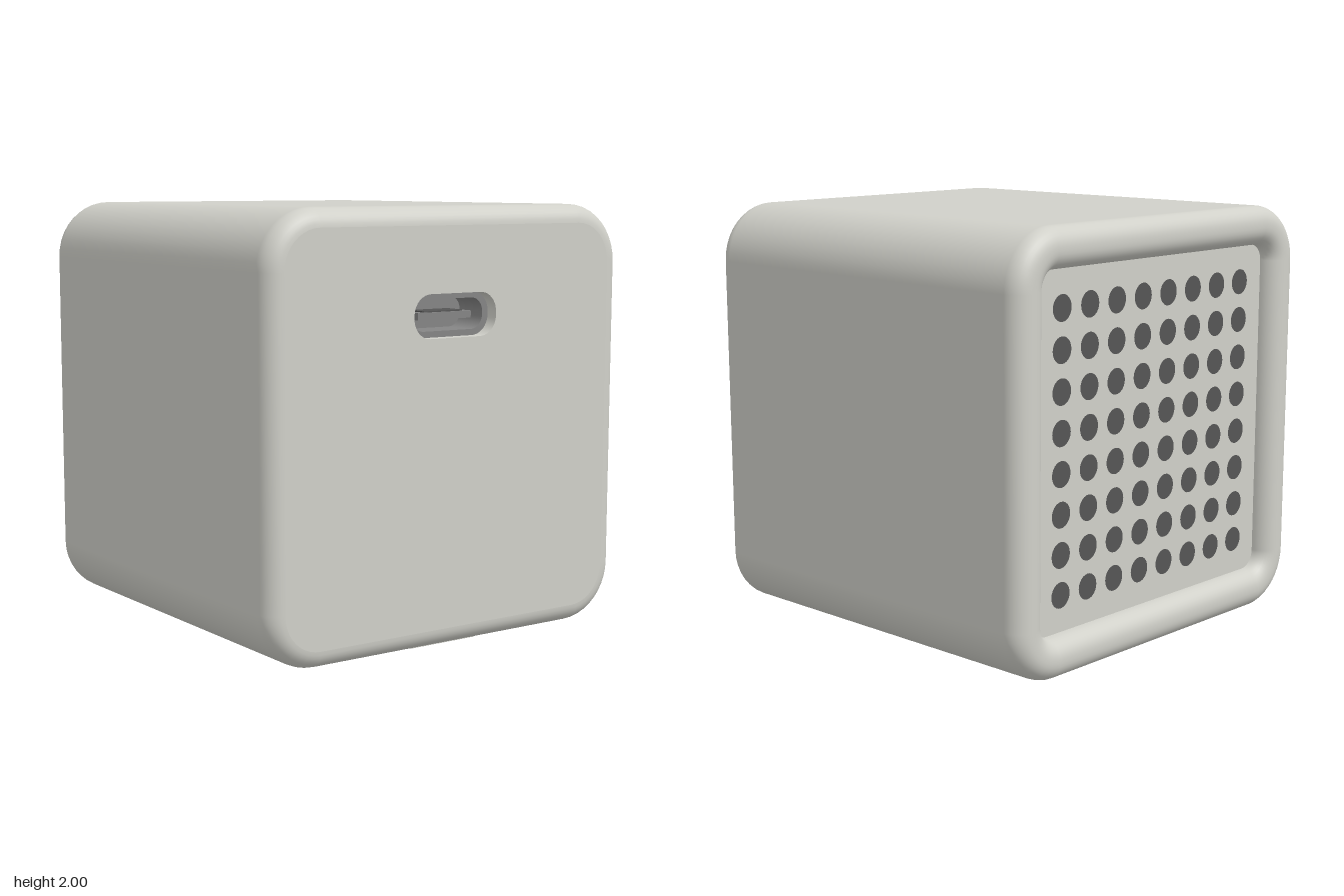
import * as THREE from 'three';

const mat = (name, color, side = THREE.FrontSide) =>
  Object.assign(new THREE.MeshStandardMaterial({ color, side }), { name });

// Counter-clockwise outline of a rounded rectangle (half width, half height, radius)
function outline(w, h, r, n = 10) {
  const pts = [];
  [[1, 1], [-1, 1], [-1, -1], [1, -1]].forEach(([sx, sy], q) => {
    for (let i = 0; i <= n; i++) {
      const a = (q + i / n) * Math.PI / 2;
      pts.push(new THREE.Vector2(sx * (w - r) + r * Math.cos(a), sy * (h - r) + r * Math.sin(a)));
    }
  });
  return pts;
}

// Skin through rounded rectangles [w, h, r, z]; faces outward when z decreases
function loft(sections) {
  const pos = [], idx = [];
  let n = 0;
  for (const [w, h, r, z] of sections) {
    const pts = outline(w, h, r);
    n = pts.length;
    pts.forEach(p => pos.push(p.x, p.y, z));
  }
  for (let i = 0; i < sections.length - 1; i++) {
    for (let j = 0; j < n; j++) {
      const a = i * n + j, b = i * n + (j + 1) % n;
      idx.push(a, a + n, b, b, a + n, b + n);
    }
  }
  const g = new THREE.BufferGeometry();
  g.setAttribute('position', new THREE.Float32BufferAttribute(pos, 3));
  g.setIndex(idx);
  g.computeVertexNormals();
  return g;
}

// Flat rounded plate, optionally with a rounded hole centred at height holeY
function plate(size, hole, holeY = 0) {
  const shape = new THREE.Shape(outline(...size));
  if (hole) {
    const pts = outline(...hole).map(p => p.add(new THREE.Vector2(0, holeY)));
    shape.holes.push(new THREE.Path(pts));
  }
  return new THREE.ShapeGeometry(shape);
}

export function createModel() {
  const shellMat = mat('warmGrey', 0xd0d0c9);
  const orange = mat('orange', 0xd4714a);
  const metal = mat('portGrey', 0x858585);
  const dark = mat('darkGrey', 0x555555);

  const model = new THREE.Group();
  const add = (parent, name, geo, material, x = 0, y = 0, z = 0) => {
    const m = new THREE.Mesh(geo, material);
    m.name = name;
    m.position.set(x, y, z);
    parent.add(m);
    return m;
  };

  // Housing: filleted front edge, straight sides, rounded rim around the back recess
  const H = 0.925, F = 0.08, S = 8, portY = 0.475;
  const body = new THREE.Group();
  body.name = 'housing';
  body.position.y = 1.075;
  model.add(body);
  const sections = [];
  const ring = (h, z) => sections.push([h, h, h - 0.675, z]);
  const arc = fn => { for (let i = 0; i <= S; i++) fn(F * Math.sin(i / S * Math.PI / 2), F * Math.cos(i / S * Math.PI / 2)); };
  arc((s, c) => ring(H - F + s, H - F + c));
  arc((s, c) => ring(H - F + c, -(H - F) - s));
  arc((s, c) => ring(0.83 - s, -(H - F) - c));
  add(body, 'housingSkin', loft(sections), shellMat);
  const slot = [0.215, 0.092, 0.085];
  add(body, 'frontFace', plate([H - F, H - F, 0.17], slot, portY), shellMat, 0, 0, H);

  // Grille: recessed back panel with an 8 x 8 grid of perforations
  const grille = new THREE.Group();
  grille.name = 'grille';
  grille.rotation.y = Math.PI;
  grille.position.z = -(H - F);
  body.add(grille);
  add(grille, 'grillePanel', plate([0.75, 0.75, 0.075]), shellMat);
  const disc = new THREE.CircleGeometry(0.056, 24);
  for (let i = 0; i < 8; i++)
    for (let j = 0; j < 8; j++)
      add(grille, 'perforation', disc, dark, (i - 3.5) * 0.169, (j - 3.5) * 0.169, 0.003);

  // Charging port: slot through the face, metal sleeve and centre tongue
  const port = new THREE.Group();
  port.name = 'chargingPort';
  port.position.y = portY;
  body.add(port);
  const mouth = [0.185, 0.066, 0.06], lip = 0.87, floor = 0.72;
  add(port, 'slotWall', loft([[...slot, lip], [...slot, H]]), shellMat);
  add(port, 'sleeveRim', plate(slot, mouth), metal, 0, 0, lip);
  add(port, 'sleeveWall', loft([[...mouth, floor], [...mouth, lip]]), metal);
  add(port, 'sleeveFloor', plate(mouth), metal, 0, 0, floor);
  add(port, 'tongue', new THREE.BoxGeometry(0.28, 0.03, 0.13), metal, 0, -0.005, floor + 0.065);
  add(port, 'contacts', new THREE.BoxGeometry(0.2, 0.008, 0.1), dark, 0, 0.011, floor + 0.07);

  // Bottom studs: a wide flange with a narrower, softly edged tip
  const profile = [[0, 0], [0.108, 0], [0.116, 0.004], [0.12, 0.014], [0.12, 0.1]]
    .map(([x, y]) => new THREE.Vector2(x, y));
  for (const [x, name, m] of [[0.25, 'orangeStud', orange], [-0.25, 'greyStud', shellMat]]) {
    const stud = new THREE.Group();
    stud.name = name;
    stud.position.x = x;
    model.add(stud);
    add(stud, 'flange', new THREE.CylinderGeometry(0.19, 0.19, 0.055, 40), m, 0, 0.1275, 0);
    add(stud, 'tip', new THREE.LatheGeometry(profile, 40), m);
  }

  // Slim lip under the front edge
  add(model, 'frontLip', new THREE.BoxGeometry(0.34, 0.008, 0.02), shellMat, 0, 0.152, 0.85);
  return model;
}
